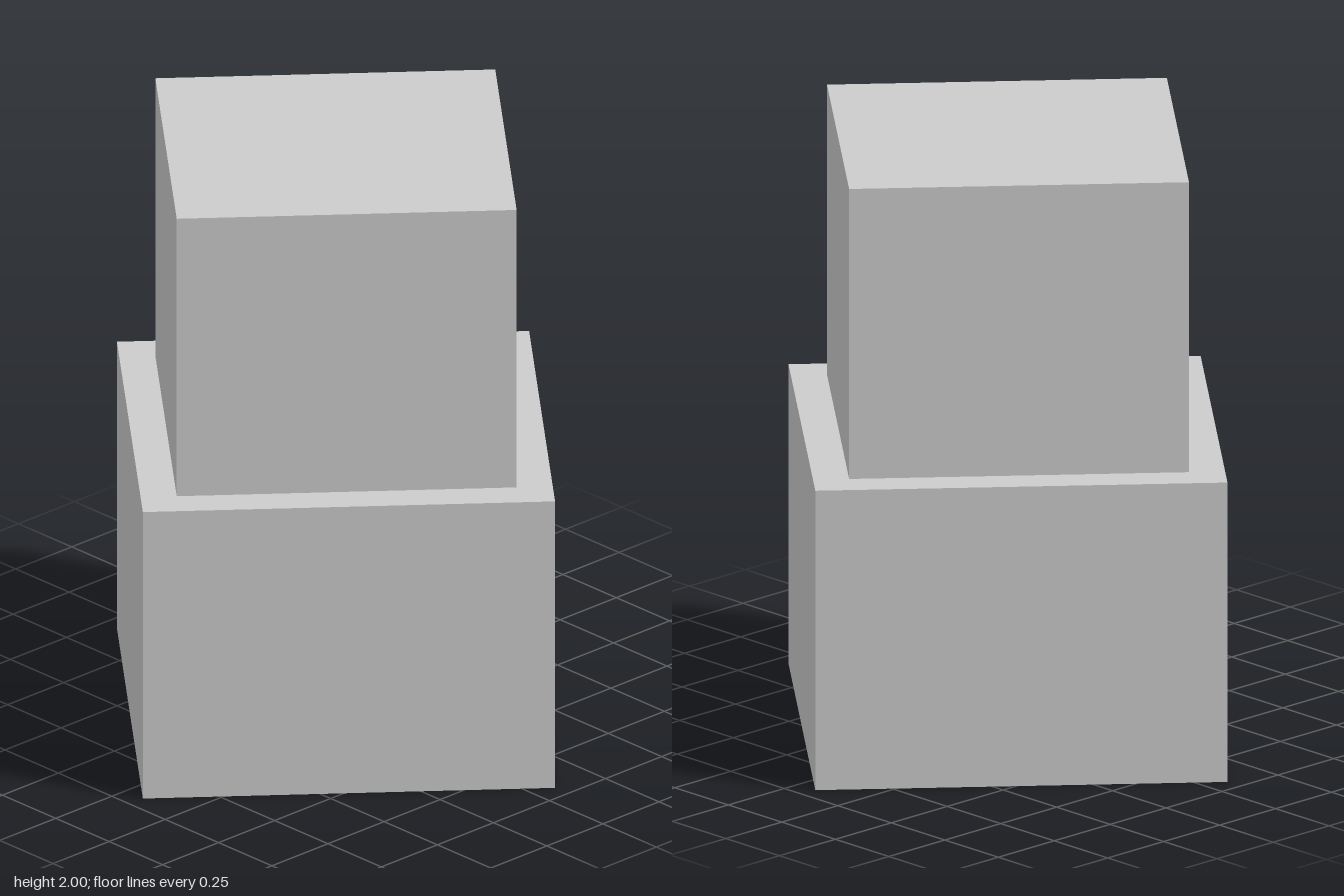
import * as THREE from 'three';

export function createModel() {
  const model = new THREE.Group();
  model.name = 'stackedBlocks';
  const grey = new THREE.MeshStandardMaterial({ color: 0xcccccc });
  grey.name = 'light grey';

  // A square block standing on height y
  const addBlock = (name, width, height, y) => {
    const block = new THREE.Mesh(new THREE.BoxGeometry(width, height, width), grey);
    block.name = name;
    block.position.y = y + height / 2;
    model.add(block);
  };

  addBlock('lowerBlock', 1.334, 1.016, 0);
  addBlock('upperBlock', 1.1, 0.984, 1.016);

  // Both blocks share the same turn about the vertical axis
  model.rotation.y = THREE.MathUtils.degToRad(50);
  return model;
}
